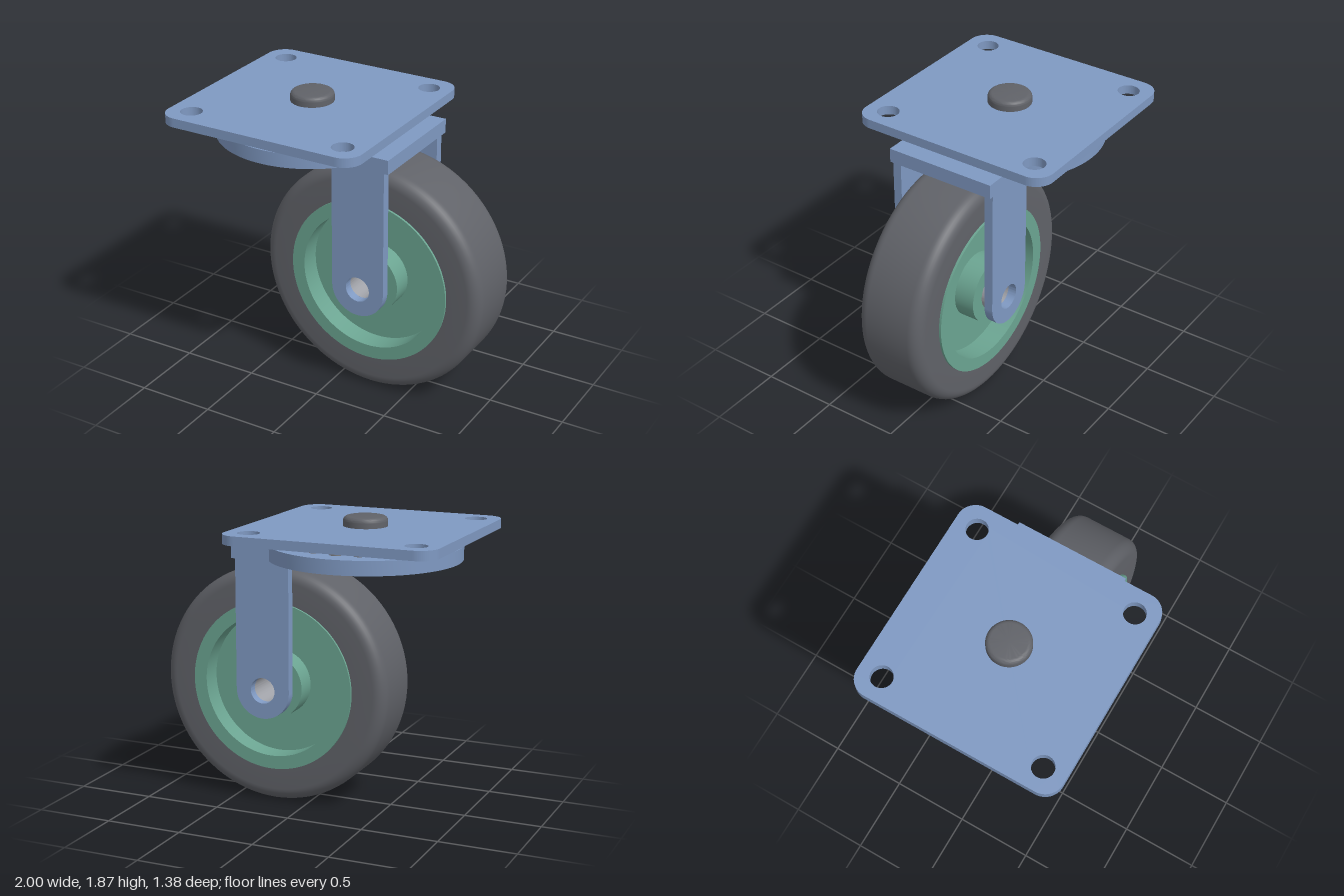
import * as THREE from 'three';
import { toCreasedNormals } from 'three/addons/utils/BufferGeometryUtils.js';

const flat = (name, color) => Object.assign(new THREE.MeshStandardMaterial({ color }), { name });

export function createModel() {
  const blue = flat('blue steel', 0x7f99c2);
  const green = flat('green hub', 0x6ba491);
  const dark = flat('dark rubber', 0x606268);
  const grey = flat('grey metal', 0xa0a2a8);

  const PIVOT = -0.31;                  // x of the swivel axis
  const AXLE = { x: 0.23, y: 0.77 };    // wheel centre
  const model = new THREE.Group();
  model.name = 'caster';

  const add = (name, geometry, material, x = 0, y = 0, z = 0) => {
    const mesh = new THREE.Mesh(geometry, material);
    mesh.name = name;
    mesh.position.set(x, y, z);
    model.add(mesh);
    return mesh;
  };
  // Revolve [radius, height] pairs; outlines run counterclockwise
  const lathe = (pairs, segments = 96) =>
    toCreasedNormals(new THREE.LatheGeometry(pairs.map(p => new THREE.Vector2(...p)), segments), 0.6);
  const extrude = (shape, depth) =>
    toCreasedNormals(new THREE.ExtrudeGeometry(shape, { depth, bevelEnabled: false, curveSegments: 40 }), 0.6);
  const hole = (x, y, r) => new THREE.Path().absarc(x, y, r, 0, Math.PI * 2, true);
  // Quarter-round corner points about (cx, cy)
  const corner = (cx, cy, r, from) => Array.from({ length: 9 }, (_, i) => {
    const a = from + (i / 8) * Math.PI / 2;
    return [cx + r * Math.cos(a), cy + r * Math.sin(a)];
  });

  // Mounting plate with rounded corners and four bolt holes
  const h = 0.69, r = 0.12;
  const plate = new THREE.Shape();
  plate.absarc(h - r, h - r, r, 0, Math.PI / 2);
  plate.absarc(r - h, h - r, r, Math.PI / 2, Math.PI);
  plate.absarc(r - h, r - h, r, Math.PI, Math.PI * 1.5);
  plate.absarc(h - r, r - h, r, Math.PI * 1.5, Math.PI * 2);
  plate.closePath();
  for (const sx of [-1, 1]) for (const sz of [-1, 1]) plate.holes.push(hole(sx * 0.54, sz * 0.54, 0.07));
  add('mountingPlate', extrude(plate, 0.06).rotateX(-Math.PI / 2), blue, PIVOT, 1.742);

  // Swivel plate: disc with a straight tongue carrying the fork
  const tongue = 0.37, discR = 0.613;
  const a = Math.asin(tongue / discR);
  const swivel = new THREE.Shape();
  swivel.absarc(0, 0, discR, a, Math.PI * 2 - a);
  swivel.lineTo(0.75, -tongue);
  swivel.lineTo(0.75, tongue);
  swivel.closePath();
  add('swivelPlate', extrude(swivel, 0.092).rotateX(-Math.PI / 2), blue, PIVOT, 1.603);

  // Ring of bearing balls
  const ball = new THREE.SphereGeometry(0.046, 20, 14);
  for (let i = 0; i < 20; i++) {
    const t = (i / 20) * Math.PI * 2;
    add('bearingBall', ball, grey, PIVOT + 0.462 * Math.sin(t), 1.719, 0.462 * Math.cos(t));
  }

  // Kingpin with rounded head and lower collar
  add('kingpin', lathe([
    [0, 1.545], [0.123, 1.545], [0.123, 1.62], [0.077, 1.62], [0.077, 1.78], [0.14, 1.78],
    ...corner(0.11, 1.835, 0.03, 0), [0, 1.865],
  ], 64), dark, PIVOT);

  // Fork legs, rounded at the axle end
  const w = 0.182;
  const leg = new THREE.Shape();
  leg.moveTo(w, 1.61 - AXLE.y);
  leg.lineTo(-w, 1.61 - AXLE.y);
  leg.absarc(0, 0, w, Math.PI, Math.PI * 2);
  leg.closePath();
  leg.holes.push(hole(0, 0, 0.083));
  const legGeometry = extrude(leg, 0.058);
  add('leftForkLeg', legGeometry, blue, AXLE.x, AXLE.y, 0.312);
  add('rightForkLeg', legGeometry, blue, AXLE.x, AXLE.y, -0.37);

  // Wheel parts, revolved about z
  const wheelPart = (name, pairs, material) =>
    add(name, lathe(pairs).rotateX(Math.PI / 2), material, AXLE.x, AXLE.y);
  const c = 0.08, tw = 0.232, R = 0.77;
  wheelPart('tyre', [
    [0.54, -tw], ...corner(R - c, c - tw, c, -Math.PI / 2), ...corner(R - c, tw - c, c, 0), [0.54, tw],
  ], dark);
  const side = [[0.11, -0.247], [0.214, -0.247], [0.214, -0.11], [0.463, -0.11], [0.463, -0.247], [0.55, -0.247]];
  wheelPart('hub', [...side, ...side.map(([x, y]) => [x, -y]).reverse()], green);
  wheelPart('axleBushing', [[0.083, -0.312], [0.12, -0.312], [0.12, 0.312], [0.083, 0.312], [0.083, -0.312]], grey);

  return model;
}
